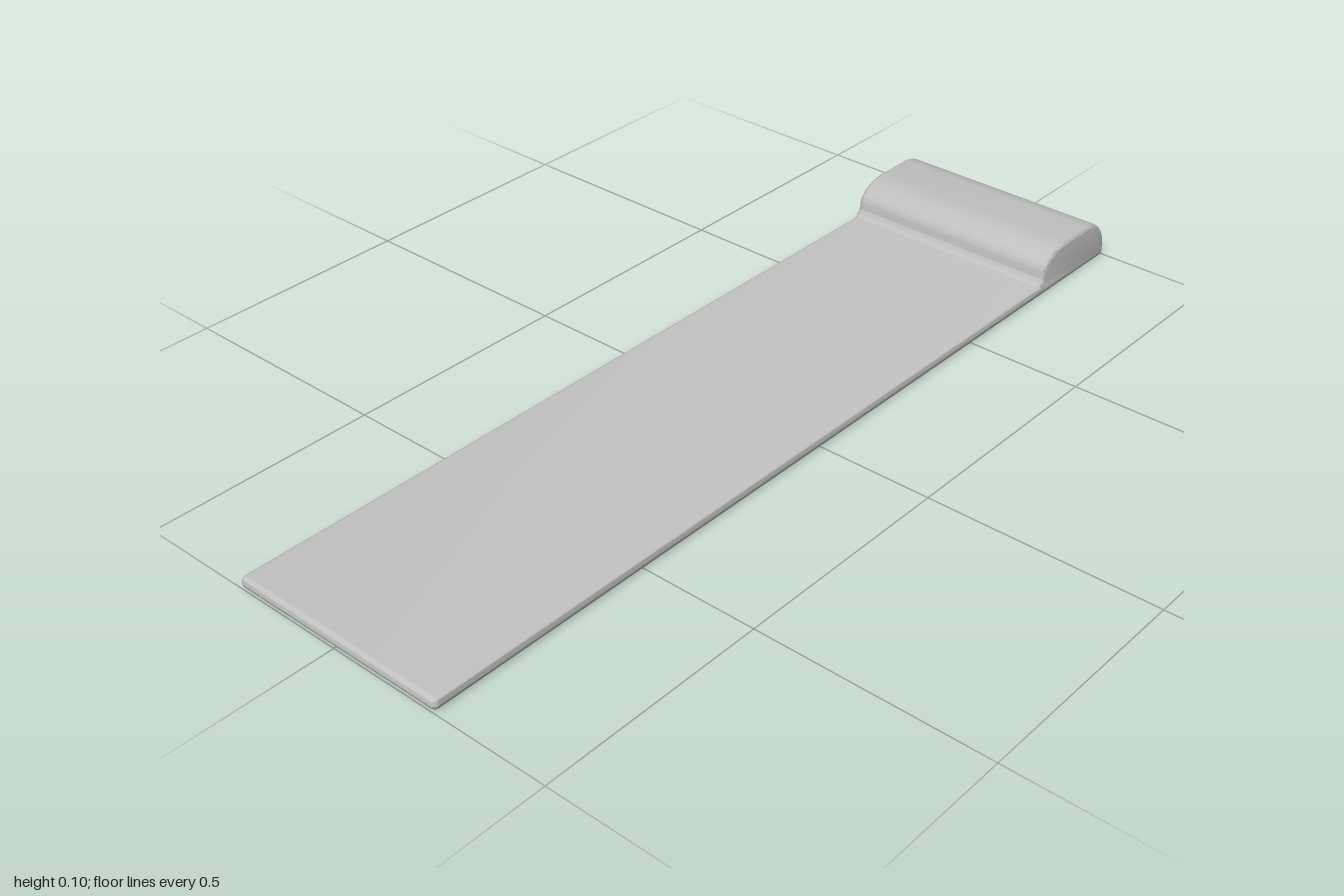
import * as THREE from 'three';
import { toCreasedNormals } from 'three/addons/utils/BufferGeometryUtils.js';

const HALF_WIDTH = 0.249, BEVEL = 0.01, THICK = 0.025, HEIGHT = 0.1, R = 0.012;

// Side outline (x runs along the model's z): thin slab rising into a rounded head
function sideProfile() {
  const s = new THREE.Shape();
  const q = Math.PI / 2;
  s.moveTo(-1 + R, 0);
  s.lineTo(1 - R, 0);
  // rounded front lip
  s.absarc(1 - R, R, R, -q, 0, false);
  s.absarc(1 - R, THICK - R, R, 0, q, false);
  // fillet where the slab meets the head
  s.lineTo(-0.732, THICK);
  s.absarc(-0.732, THICK + 0.024, 0.024, -q, -2 * q, true);
  // domed head
  s.absellipse(-0.836, 0.049, 0.08, HEIGHT - 0.049, 0, q, false);
  s.lineTo(-0.92, HEIGHT);
  s.absellipse(-0.92, 0.025, 0.08, HEIGHT - 0.025, q, 2 * q, false);
  s.lineTo(-1, R);
  s.absarc(-1 + R, R, R, 2 * q, 3 * q, false);
  return s;
}

export function createModel() {
  const group = new THREE.Group();
  const grey = new THREE.MeshStandardMaterial({ color: 0xbfbfbf });
  grey.name = 'grey';

  // Extrude across the width with softly rounded side edges
  const depth = 2 * (HALF_WIDTH - BEVEL);
  const extruded = new THREE.ExtrudeGeometry(sideProfile(), {
    depth, curveSegments: 10,
    bevelEnabled: true, bevelSize: BEVEL, bevelThickness: BEVEL,
    bevelOffset: -BEVEL, bevelSegments: 6,
  });
  extruded.translate(0, 0, -depth / 2);
  extruded.rotateY(-Math.PI / 2);

  const board = new THREE.Mesh(toCreasedNormals(extruded, 0.6), grey);
  board.name = 'boardWithRaisedHead';
  group.add(board);
  return group;
}
